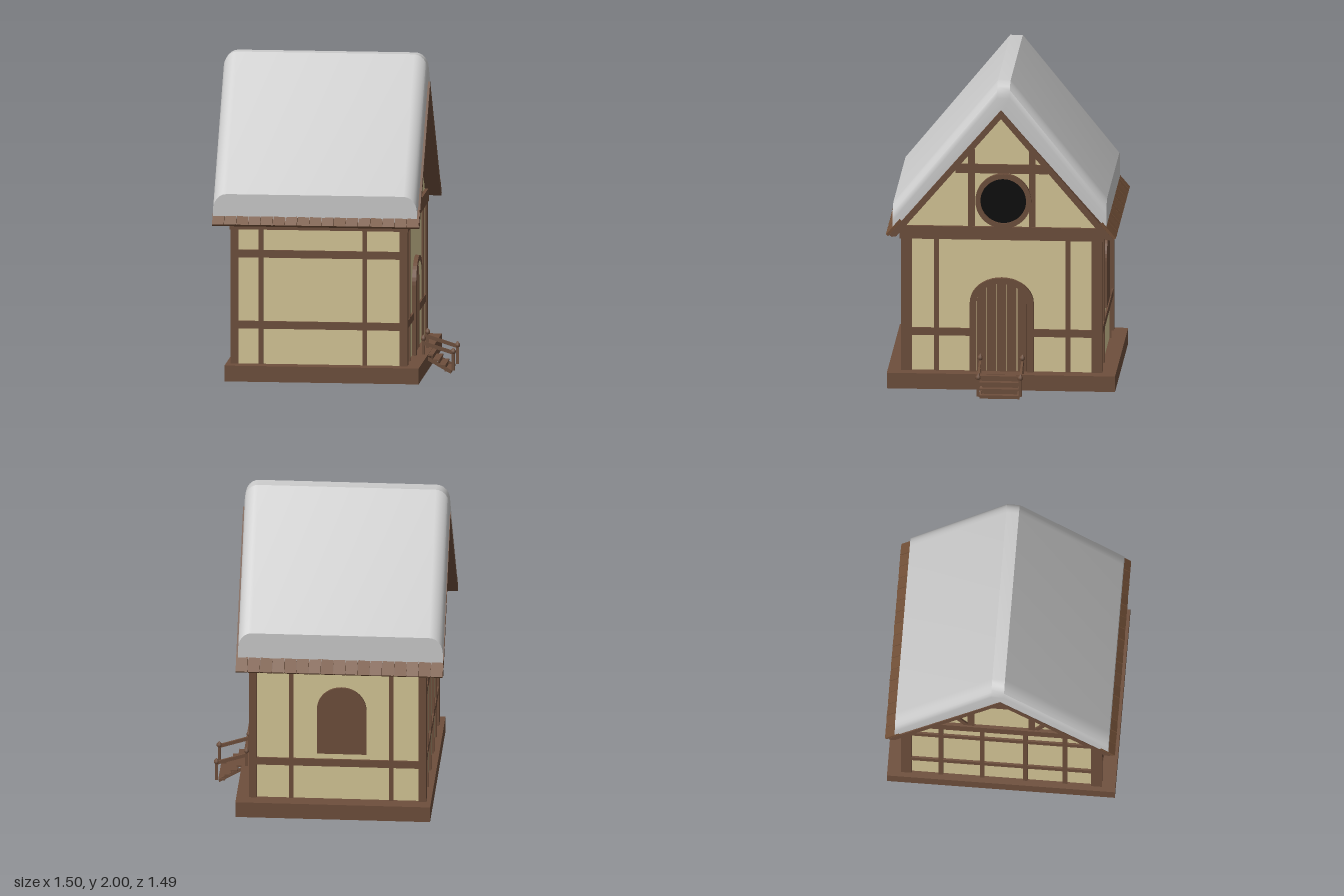
import * as THREE from 'three';
import { toCreasedNormals } from 'three/addons/utils/BufferGeometryUtils.js';

const mat = (color) => new THREE.MeshStandardMaterial({ color });

export function createModel() {
  const plaster = mat(0xd6c797), wood = mat(0x6e4f3c), tileWood = mat(0x755239);
  const black = mat(0x0c0c0c), snowMat = mat(0xcccccc);
  const root = new THREE.Group();
  root.name = 'cottage';
  const house = new THREE.Group();
  house.name = 'house';
  house.rotation.y = 0.036;
  house.position.x = -0.04;
  root.add(house);

  const add = (name, geo, m) => {
    const mesh = new THREE.Mesh(geo, m);
    mesh.name = name;
    house.add(mesh);
    return mesh;
  };
  // Box given by its limits on each axis
  const box = (name, x0, x1, y0, y1, z0, z1, m = wood) => {
    const mesh = add(name, new THREE.BoxGeometry(x1 - x0, y1 - y0, z1 - z0), m);
    mesh.position.set((x0 + x1) / 2, (y0 + y1) / 2, (z0 + z1) / 2);
    return mesh;
  };
  // Outline of [z, y] points, extruded along x
  const toShape = (pts) => new THREE.Shape(pts.map(([z, y]) => new THREE.Vector2(-z, y)));
  const extrudeX = (name, shape, x0, x1, m = wood) => {
    const geo = new THREE.ExtrudeGeometry(shape, { depth: x1 - x0, bevelEnabled: false, curveSegments: 32 });
    geo.rotateY(Math.PI / 2).translate(x0, 0, 0);
    return add(name, geo, m);
  };
  // Bar of square-ish section between two points
  const bar = (name, a, b, w, h) => {
    const p = new THREE.Vector3(...a), q = new THREE.Vector3(...b);
    const mesh = add(name, new THREE.BoxGeometry(w, h, p.distanceTo(q)), wood);
    mesh.position.copy(p).add(q).multiplyScalar(0.5);
    mesh.lookAt(q.clone().applyMatrix4(house.matrixWorld));
    // lookAt allows for the parent's turn, so set the local direction directly
    mesh.quaternion.setFromRotationMatrix(new THREE.Matrix4().lookAt(q, p, new THREE.Vector3(0, 1, 0)));
    return mesh;
  };
  // Upright rectangle with an elliptical top, as [z, y] points
  const arch = (half, y0, spring, top) => {
    const pts = [[half, y0]];
    for (let i = 0; i <= 20; i++) {
      const a = (i / 20) * Math.PI;
      pts.push([half * Math.cos(a), spring + (top - spring) * Math.sin(a)]);
    }
    pts.push([-half, y0]);
    return pts;
  };

  // Plinth and plastered walls with gables
  const X0 = -0.58, X1 = 0.53, Z = 0.63, IN = 0.015;
  box('plinth', -0.61, 0.61, 0.02, 0.12, -0.715, 0.715);
  const w = Z - IN;
  extrudeX('walls', toShape([[w, 0.12], [w, 1.03], [0, 1.77], [-w, 1.03], [-w, 0.12]]), X0 + IN, X1 - IN, plaster);

  // Corner posts
  for (const s of [-1, 1]) {
    for (const [a, b] of [[X0, X0 + 0.048], [X1 - 0.048, X1]])
      box('cornerPost', a, b, 0.12, 1.0, s > 0 ? Z - 0.068 : -Z, s > 0 ? Z : -Z + 0.068);
  }

  // Timbers on the long walls
  for (const s of [-1, 1]) {
    const z0 = s > 0 ? w - 0.01 : -Z + 0.003, z1 = s > 0 ? Z - 0.003 : -w + 0.01;
    for (const y of s > 0 ? [0.367, 0.817] : [0.367])
      box('wallRail', X0 + 0.02, X1 - 0.02, y - 0.024, y + 0.024, z0, z1);
    box('topRail', X0 + 0.02, X1 - 0.02, 0.97, 1.03, z0, z1);
    for (const x of s > 0 ? [-0.39, 0.262] : [-0.36, 0.265])
      box('wallStud', x - 0.014, x + 0.014, 0.12, 1.0, z0, z1);
  }

  // Timbers on the gable walls
  for (const s of [-1, 1]) {
    const x0 = s > 0 ? X1 - 0.03 : X0 + 0.003, x1 = s > 0 ? X1 - 0.003 : X0 + 0.03;
    box('tieBeam', s > 0 ? x0 : X0 - 0.006, s > 0 ? X1 + 0.006 : x1, 0.97, 1.053, -0.64, 0.64);
    box('collarBeam', x0, x1, 1.397, 1.455, -0.29, 0.29);
    for (const z of [-0.19, 0.19]) box('gableStud', x0, x1, 1.053, 1.55, z - 0.021, z + 0.021);
    for (const z of s > 0 ? [-0.415, 0.41] : [-0.38, -0.12, 0.15, 0.4])
      box('gableWallStud', x0, x1, 0.12, 0.97, z - 0.015, z + 0.015);
    if (s > 0) {
      box('gableRail', x0, x1, 0.346, 0.394, 0.18, 0.61);
      box('gableRail', x0, x1, 0.346, 0.394, -0.61, -0.18);
    } else {
      for (const y of [0.367, 0.817]) box('gableRail', x0, x1, y - 0.024, y + 0.024, -0.61, 0.61);
      for (const m of [-1, 1])
        bar('gableBrace', [X0 + 0.016, 1.06, 0.22 * m], [X0 + 0.016, 1.33, 0.37 * m], 0.025, 0.03);
    }
  }

  // Arched door: frame and planks
  const frame = toShape(arch(0.2, 0.12, 0.565, 0.725));
  frame.holes.push(new THREE.Path(arch(0.158, 0.12, 0.555, 0.69).map(([z, y]) => new THREE.Vector2(-z, y))));
  extrudeX('doorFrame', frame, X1 - 0.03, X1 + 0.012);
  const planks = 5, pw = 0.316 / planks;
  for (let i = 0; i < planks; i++) {
    const a = -0.158 + i * pw + 0.002, b = a + pw - 0.004;
    const pts = [[a, 0.12]];
    for (let k = 0; k <= 4; k++) {
      const z = a + (b - a) * k / 4;
      pts.push([z, 0.555 + 0.135 * Math.sqrt(Math.max(0, 1 - (z / 0.158) ** 2))]);
    }
    pts.push([b, 0.12]);
    extrudeX('doorPlank', toShape(pts), X1 - 0.03, X1 - 0.005);
  }

  // Round gable window
  const ring = new THREE.Shape().absarc(0.01, 1.222, 0.175, 0, Math.PI * 2);
  ring.holes.push(new THREE.Path().absarc(0.01, 1.222, 0.143, 0, Math.PI * 2, true));
  extrudeX('roundWindowFrame', ring, X1 - 0.03, X1 + 0.012);
  extrudeX('roundWindowPane', new THREE.Shape().absarc(0.01, 1.222, 0.146, 0, Math.PI * 2), X1 - 0.03, X1 - 0.001, black);

  // Arched shutter on the back wall
  const shutter = new THREE.ExtrudeGeometry(toShape(arch(0.155, 0.43, 0.73, 0.88)), { depth: 0.03, bevelEnabled: false });
  add('backShutter', shutter, wood).position.set(-0.05, 0, -Z);

  // Roof boards
  const R0 = -0.69, R1 = 0.61;
  extrudeX('roof', toShape([[0.7, 1.01], [0, 1.825], [-0.7, 1.01], [-0.685, 0.998], [-0.655, 1.003],
    [0, 1.77], [0.655, 1.003], [0.685, 0.998]]), R0, R1);

  // Row of tiles along each eave, slightly uneven
  const count = 17, tw = (R1 - R0) / count, slope = Math.atan2(0.815, 0.7);
  for (const s of [-1, 1]) {
    for (let i = 0; i < count; i++) {
      const tile = add('eaveTile', new THREE.BoxGeometry(tw - 0.003, 0.018, 0.13), tileWood);
      tile.position.set(R0 + (i + 0.5) * tw, 1.057, s * 0.672);
      tile.rotation.set(s * slope, 0, 0.05 * Math.sin(i * 2.3));
    }
  }

  // Snow blanket: one cross-section swept along x, rounded down at both ends
  const S0 = -0.686, S1 = 0.596;
  const section = (d) => [[0.68, 1.02], [0.68, 1.2 - d], [0.025, 2 - d], [-0.055, 2 - d],
    [-0.66, 1.25 - d], [-0.66, 1.07], [-0.01, 1.81]];
  const stations = [];
  for (let i = 0; i <= 6; i++) {
    const a = (i / 6) * Math.PI / 2;
    stations.push([0.085 * (1 - Math.cos(a)), 0.1 * (1 - Math.sin(a))]);
  }
  const rows = [...stations.map(([x, d]) => [S0 + x, d]), ...stations.map(([x, d]) => [S1 - x, d]).reverse()];
  const pos = [], idx = [], n = 7;
  for (const [x, d] of rows) for (const [z, y] of section(d)) pos.push(x, y, z);
  for (let j = 0; j < rows.length - 1; j++) {
    for (let i = 0; i < n; i++) {
      const a = j * n + i, b = j * n + (i + 1) % n, c = b + n, d = a + n;
      idx.push(a, d, c, a, c, b);
    }
  }
  const last = (rows.length - 1) * n;
  const cap = THREE.ShapeUtils.triangulateShape(section(0.1).map(([z, y]) => new THREE.Vector2(z, y)), []);
  for (const [a, b, c] of cap) idx.push(a, b, c, last + a, last + c, last + b);
  const snow = new THREE.BufferGeometry();
  snow.setAttribute('position', new THREE.Float32BufferAttribute(pos, 3));
  snow.setIndex(idx);
  add('snow', toCreasedNormals(snow, 0.5), snowMat);

  // Steps with posts and sloping handrails
  for (let i = 0; i < 4; i++) {
    const x = 0.6 + i * 0.038, y = 0.118 - i * 0.032;
    box('tread', x, x + 0.042, y - 0.01, y, -0.13, 0.13);
    box('riser', x + 0.032, x + 0.038, Math.max(0, y - 0.034), y - 0.008, -0.125, 0.125);
  }
  for (const z of [-0.132, 0.132]) {
    bar('stringer', [0.6, 0.095, z * 0.9], [0.75, 0.01, z * 0.9], 0.012, 0.02);
    for (const [x, y0, y1] of [[0.58, 0.12, 0.21], [0.768, 0.02, 0.13]]) {
      box('railPost', x - 0.009, x + 0.009, y0, y1, z - 0.009, z + 0.009);
      const finial = add('postFinial', new THREE.LatheGeometry([[0.009, 0], [0.016, 0.008], [0.016, 0.022], [0, 0.042]]
        .map(([r, y]) => new THREE.Vector2(r, y)), 8), wood);
      finial.position.set(x, y1 - 0.005, z);
    }
    bar('handrail', [0.58, 0.192, z], [0.768, 0.132, z], 0.014, 0.022);
  }

  return root;
}
